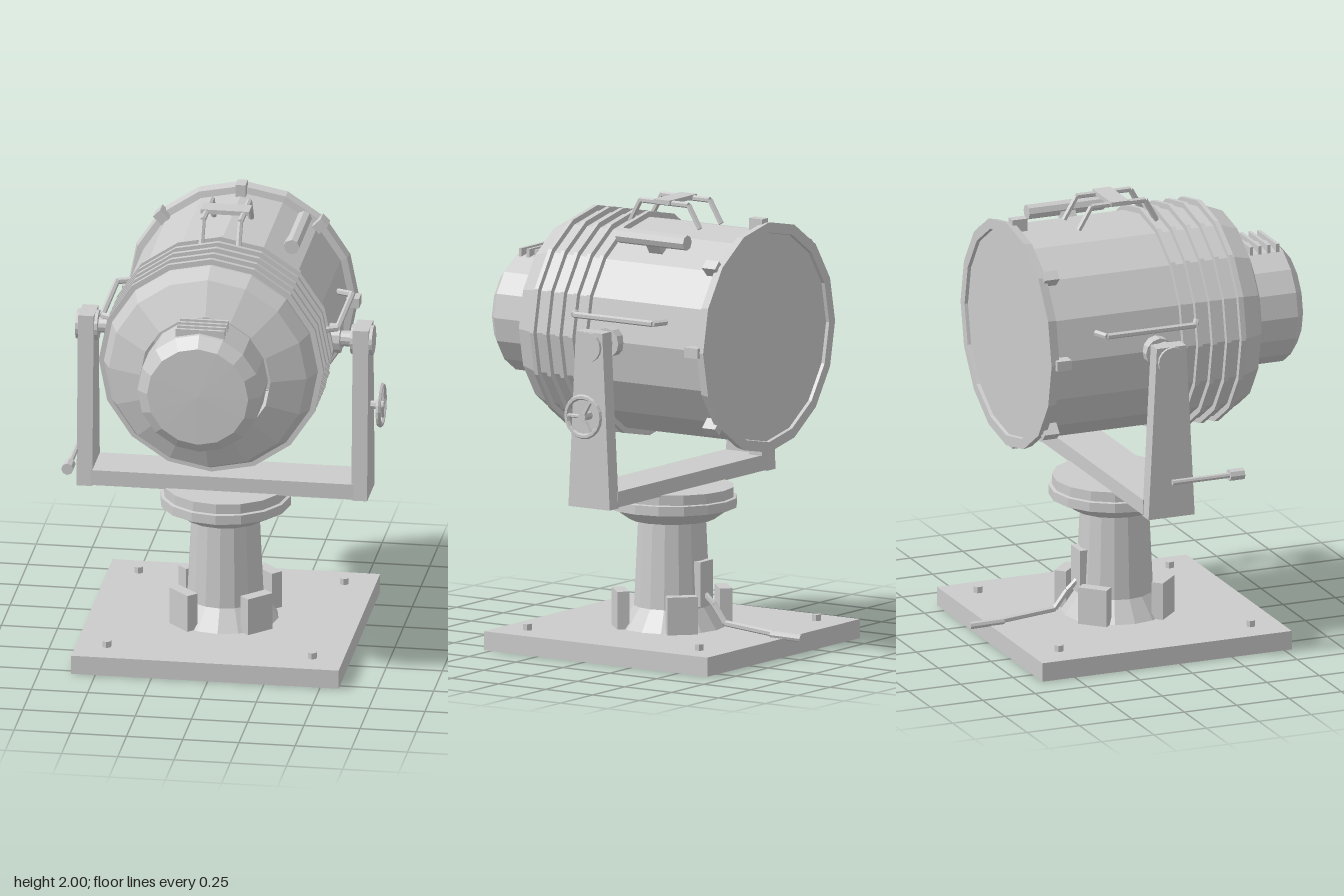
import * as THREE from 'three';

const mat = new THREE.MeshStandardMaterial({ color: 0xcccccc, flatShading: true, side: THREE.DoubleSide });
const CY = 1.42, CZ = -0.06; // drum axis height, pivot/pedestal depth

function add(parent, name, geo, x = 0, y = 0, z = 0) {
  const m = new THREE.Mesh(geo, mat);
  m.name = name;
  m.position.set(x, y, z);
  parent.add(m);
  return m;
}
const box = (p, name, w, h, d, x, y, z) => add(p, name, new THREE.BoxGeometry(w, h, d), x, y, z);

// Round bar between two points
function bar(p, name, a, b, r, sides = 8) {
  const A = new THREE.Vector3(...a), B = new THREE.Vector3(...b);
  const m = add(p, name, new THREE.CylinderGeometry(r, r, A.distanceTo(B), sides));
  m.position.copy(A).lerp(B, 0.5);
  m.quaternion.setFromUnitVectors(new THREE.Vector3(0, 1, 0), B.sub(A).normalize());
  return m;
}
// Chain of bars through several points
function chain(p, name, pts, r, sides = 6) {
  for (let i = 1; i < pts.length; i++) bar(p, name, pts[i - 1], pts[i], r, sides);
}
function lathe(pts, sides) {
  return new THREE.LatheGeometry(pts.map(([r, y]) => new THREE.Vector2(r, y)), sides);
}
const latheZ = (pts, sides) => lathe(pts, sides).rotateX(Math.PI / 2);

function createPedestal() {
  const g = new THREE.Group();
  g.name = 'pedestal';
  box(g, 'basePlate', 1.19, 0.085, 1.19, 0, 0.0425, CZ);
  add(g, 'column', lathe([[0.235, 0.085], [0.17, 0.18], [0.152, 0.56], [0.19, 0.565], [0.26, 0.615],
    [0.29, 0.62], [0.29, 0.662], [0.275, 0.665], [0.275, 0.71], [0, 0.71]], 16), 0, 0, CZ);
  // Four diagonal foot blocks and corner bolts
  for (let i = 0; i < 4; i++) {
    const a = Math.PI / 4 + i * Math.PI / 2, s = Math.sin(a), c = Math.cos(a);
    box(g, 'footBlock', 0.135, 0.17, 0.055, s * 0.23, 0.168, CZ + c * 0.23).rotation.y = a;
    add(g, 'baseBolt', new THREE.CylinderGeometry(0.021, 0.021, 0.03, 6),
      Math.sign(s) * 0.457, 0.098, CZ + Math.sign(c) * 0.457);
  }
  // Junction box and power cable at the back
  box(g, 'junctionBox', 0.1, 0.2, 0.06, 0, 0.29, -0.215);
  chain(g, 'cable', [[0, 0.24, -0.24], [0, 0.2, -0.285], [0, 0.122, -0.345], [0, 0.1, -0.6]], 0.014);
  bar(g, 'cableEnd', [0, 0.096, -0.59], [0, 0.094, -0.75], 0.017);
  return g;
}

function createYoke() {
  const g = new THREE.Group();
  g.name = 'yoke';
  box(g, 'crossbar', 1.17, 0.07, 0.22, 0, 0.74, CZ);
  const side = new THREE.Shape([[-0.11, 0.7], [0.11, 0.7], [0.07, 1.485], [-0.07, 1.485]]
    .map(([z, y]) => new THREE.Vector2(z, y)));
  const armGeo = new THREE.ExtrudeGeometry(side, { depth: 0.07, bevelEnabled: false })
    .translate(0, 0, -0.035).rotateY(-Math.PI / 2);
  for (const s of [-1, 1]) {
    add(g, 'yokeArm', armGeo, s * 0.611, 0, CZ);
    bar(g, 'pivotBoss', [s * 0.562, CY, CZ], [s * 0.66, CY, CZ], 0.066, 16);
    bar(g, 'pivotPin', [s * 0.44, CY, CZ], [s * 0.6, CY, CZ], 0.035, 12);
    bar(g, 'pivotCollar', [s * 0.44, CY, CZ], [s * 0.515, CY, CZ], 0.066, 12);
  }
  // Tilt handwheel on the left arm
  const wheel = new THREE.Group();
  wheel.name = 'handwheel';
  wheel.position.set(0.692, 1.115, CZ);
  g.add(wheel);
  add(wheel, 'wheelRim', new THREE.TorusGeometry(0.088, 0.012, 6, 20).rotateY(Math.PI / 2));
  bar(wheel, 'wheelHub', [-0.06, 0, 0], [0.012, 0, 0], 0.02, 8);
  for (let i = 0; i < 3; i++) {
    const a = Math.PI / 2 + i * Math.PI * 2 / 3;
    bar(wheel, 'wheelSpoke', [0, 0, 0], [0, 0.088 * Math.cos(a), 0.088 * Math.sin(a)], 0.009, 6);
  }
  // Locking lever on the right arm
  bar(g, 'leverRod', [-0.652, 0.862, -0.06], [-0.652, 0.862, 0.22], 0.013);
  bar(g, 'leverKnob', [-0.652, 0.862, 0.21], [-0.652, 0.862, 0.278], 0.027);
  return g;
}

function createLamp() {
  const g = new THREE.Group();
  g.name = 'lampHousing';
  g.position.y = CY;
  add(g, 'drum', latheZ([[0.475, -0.55], [0.475, 0.37], [0.44, 0.455], [0.29, 0.52]], 16));
  add(g, 'endCap', latheZ([[0.275, 0.5], [0.275, 0.7], [0.225, 0.745], [0, 0.75]], 16));
  // Cooling rings
  for (let i = 0; i < 5; i++) {
    const z = 0.07 + i * 0.069;
    add(g, 'coolingRing', latheZ([[0.46, z - 0.01], [0.5, z - 0.01], [0.5, z + 0.01], [0.46, z + 0.01]], 16));
  }
  // Lens, rim and clips
  add(g, 'lens', latheZ([[0, -0.562], [0.47, -0.562]], 16));
  add(g, 'lensRim', latheZ([[0.465, -0.56], [0.468, -0.577], [0.514, -0.577], [0.505, -0.535], [0.47, -0.53]], 16));
  for (let i = 0; i < 8; i++) {
    const a = i * Math.PI / 4;
    const clip = box(g, 'rimClip', 0.045, 0.065, 0.07, Math.sin(a) * 0.495, Math.cos(a) * 0.495, -0.52);
    clip.rotation.z = -a;
  }
  // Side grab rails
  for (const s of [-1, 1]) {
    chain(g, 'sideRail', [[s * 0.455, 0.11, -0.34], [s * 0.523, 0.11, -0.315],
      [s * 0.523, 0.11, 0.105], [s * 0.455, 0.11, 0.14]], 0.014);
  }
  // Top carrying handle
  for (const x of [-0.083, 0.083]) {
    chain(g, 'topHandle', [[x, 0.465, 0.105], [x, 0.565, 0.05], [x, 0.565, -0.205], [x, 0.465, -0.265]], 0.013);
  }
  box(g, 'handlePlate', 0.216, 0.02, 0.085, 0, 0.57, -0.077);
  // Sighting tube with its bracket
  bar(g, 'sightTube', [0.305, 0.443, 0.01], [0.305, 0.443, -0.35], 0.034, 8);
  box(g, 'sightBracket', 0.04, 0.1, 0.07, 0.28, 0.41, -0.165).rotation.z = -0.6;
  // Vent slats on the end cap
  for (let i = 0; i < 4; i++) box(g, 'ventSlat', 0.216, 0.045, 0.015, 0, 0.268, 0.548 + i * 0.042);
  return g;
}

export function createModel() {
  const model = new THREE.Group();
  model.name = 'searchlight';
  const body = new THREE.Group();
  body.name = 'assembly';
  body.position.x = -0.012;
  body.add(createPedestal(), createYoke(), createLamp());
  model.add(body);
  return model;
}
